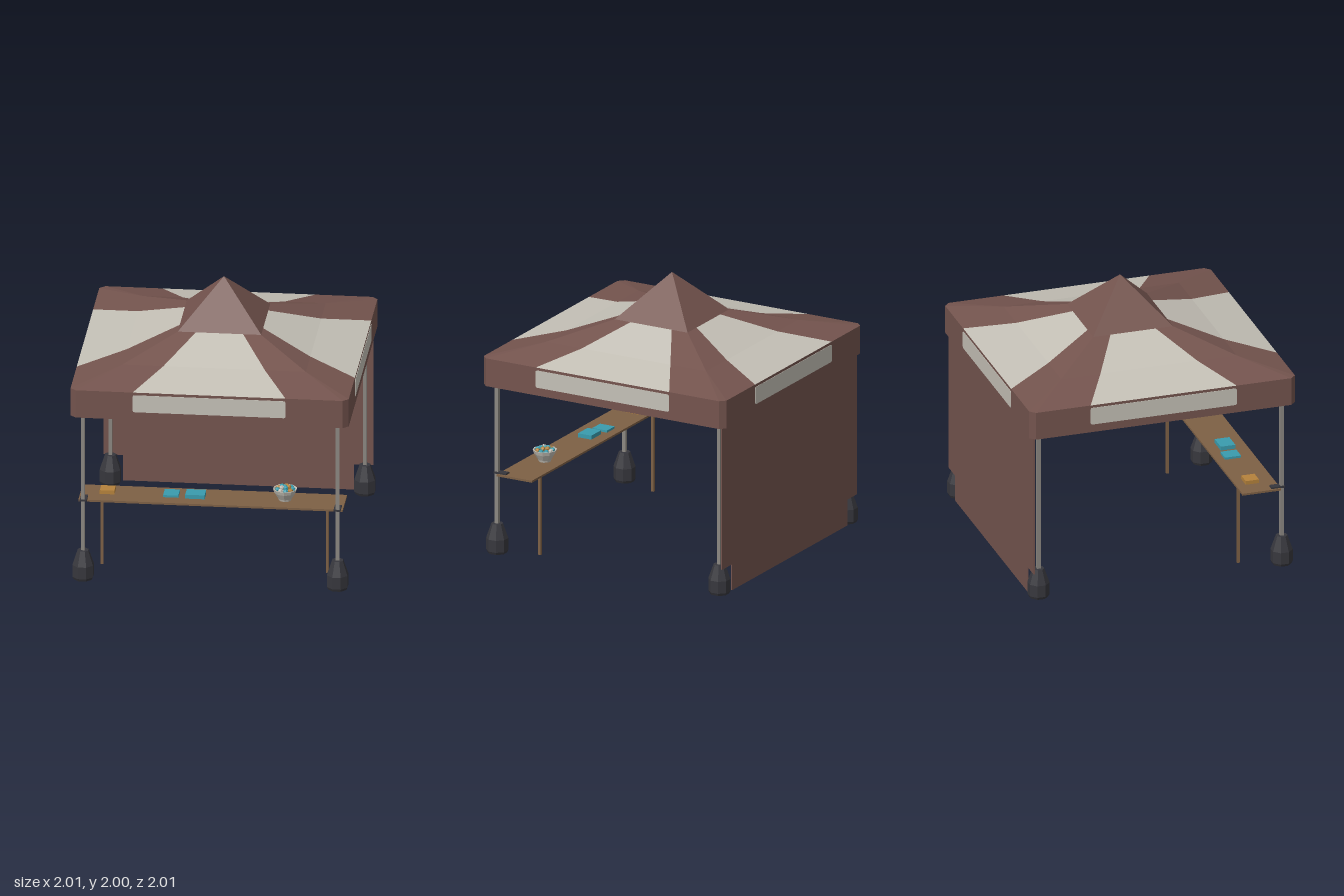
import * as THREE from 'three';

const mat = (name, color, side = THREE.FrontSide) =>
  new THREE.MeshStandardMaterial({ name, color, side, flatShading: true });

// Flat-shaded faces from lists of 3 or 4 corners, counter-clockwise seen from outside
function faces(list) {
  const pos = [];
  for (const f of list)
    for (let i = 1; i < f.length - 1; i++) pos.push(...f[0], ...f[i], ...f[i + 1]);
  const g = new THREE.BufferGeometry();
  g.setAttribute('position', new THREE.Float32BufferAttribute(pos, 3));
  g.computeVertexNormals();
  return g;
}

export function createModel() {
  const root = new THREE.Group();
  root.name = 'marketTent';
  const cloth = mat('maroonCloth', 0x74544e, THREE.DoubleSide);
  const cream = mat('creamCloth', 0xc4c0b6);
  const metal = mat('greyMetal', 0x8b8781);
  const dark = mat('darkWeight', 0x37373d);
  const wood = mat('wood', 0x7d6045);
  const teal = mat('teal', 0x3a9cae);
  const orange = mat('orange', 0xb5823c);

  const add = (name, geo, material, x = 0, y = 0, z = 0, parent = root) => {
    const m = new THREE.Mesh(geo, material);
    m.name = name;
    m.position.set(x, y, z);
    parent.add(m);
    return m;
  };
  const box = (name, w, h, d, material, x, y, z, parent) =>
    add(name, new THREE.BoxGeometry(w, h, d), material, x, y, z, parent);

  // Bar with a square section between two points
  const bar = (name, a, b, t, parent) => {
    const p = new THREE.Vector3(...a), q = new THREE.Vector3(...b);
    const m = add(name, new THREE.BoxGeometry(t, t, p.distanceTo(q)), metal, 0, 0, 0, parent);
    m.position.copy(p).add(q).multiplyScalar(0.5);
    m.rotation.x = -Math.atan2(q.y - p.y, q.z - p.z);
    m.quaternion.setFromUnitVectors(new THREE.Vector3(0, 0, 1), q.clone().sub(p).normalize());
  };

  // Roof rings: distance out, height, half width of cream panel, half width of side
  const rings = [[1, 1.48, 0.55, 0.96], [0.66, 1.555, 0.365, 0.66], [0.3, 1.68, 0.17, 0.3]];
  const clothFaces = [], panelFaces = [];
  for (let i = 0; i < 2; i++) {
    const [z0, y0, p0, w0] = rings[i], [z1, y1, p1, w1] = rings[i + 1];
    const strip = (a0, b0, a1, b1) =>
      [[a0, y0, z0], [b0, y0, z0], [b1, y1, z1], [a1, y1, z1]];
    panelFaces.push(strip(-p0, p0, -p1, p1));
    clothFaces.push(strip(-w0, -p0, -w1, -p1), strip(p0, w0, p1, w1));
  }
  clothFaces.push(
    [[0.96, 1.48, 1], [1, 1.48, 0.96], [0.66, 1.555, 0.66]],
    [[-0.3, 1.68, 0.3], [0.3, 1.68, 0.3], [0, 2, 0]],
    // valance and its cut corner
    [[-0.96, 1.27, 1], [0.96, 1.27, 1], [0.96, 1.48, 1], [-0.96, 1.48, 1]],
    [[0.96, 1.27, 1], [1, 1.27, 0.96], [1, 1.48, 0.96], [0.96, 1.48, 1]]);
  const clothGeo = faces(clothFaces), panelGeo = faces(panelFaces);

  // Rounded sign plate on the valance
  const w = 0.55, y0 = 1.33, y1 = 1.46, r = 0.015;
  const plate = new THREE.Shape();
  plate.absarc(w - r, y0 + r, r, -Math.PI / 2, 0);
  plate.absarc(w - r, y1 - r, r, 0, Math.PI / 2);
  plate.absarc(-w + r, y1 - r, r, Math.PI / 2, Math.PI);
  plate.absarc(-w + r, y0 + r, r, Math.PI, Math.PI * 1.5);
  const plateGeo = new THREE.ExtrudeGeometry(plate, { depth: 0.004, bevelEnabled: false, curveSegments: 3 });

  // Foot weight
  const weightGeo = new THREE.LatheGeometry(
    [[0, 0], [0.07, 0], [0.08, 0.02], [0.08, 0.11], [0.042, 0.22], [0, 0.22]]
      .map(p => new THREE.Vector2(...p)), 8, Math.PI / 8);

  // Four identical sides, each with one corner post
  for (let k = 0; k < 4; k++) {
    const side = new THREE.Group();
    side.name = 'tentSide';
    side.rotation.y = k * Math.PI / 2;
    root.add(side);
    add('canopyCloth', clothGeo, cloth, 0, 0, 0, side);
    add('canopyPanel', panelGeo, cream, 0, 0, 0, side);
    add('panelLining', panelGeo, cloth, 0, -0.006, 0, side);
    add('valancePlate', plateGeo, cream, 0, 0, 0.999, side);
    box('post', 0.027, 1.45, 0.027, metal, 0.915, 0.745, 0.915, side);
    box('postCollar', 0.045, 0.04, 0.045, metal, 0.915, 1.31, 0.915, side);
    add('footWeight', weightGeo, dark, 0.915, 0, 0.915, side);
    // scissor truss
    for (const s of [-1, 1]) {
      bar('trussBar', [s * 0.915, 1.45, 0.91], [0, 1.31, 0.91], 0.014, side);
      bar('trussBar', [s * 0.915, 1.31, 0.925], [0, 1.45, 0.925], 0.014, side);
    }
  }

  // Back wall, notched around the weights
  const wall = new THREE.Shape([[-0.83, 0.005], [0.83, 0.005], [0.83, 0.2], [0.97, 0.2],
    [0.97, 1.3], [-0.97, 1.3], [-0.97, 0.2], [-0.83, 0.2]].map(p => new THREE.Vector2(...p)));
  add('backWall', new THREE.ExtrudeGeometry(wall, { depth: 0.01, bevelEnabled: false }), cloth, 0, 0, -0.97);

  // Counter with two legs, clamped to the front posts
  box('counterTop', 1.9, 0.015, 0.29, wood, 0, 0.592, 0.755);
  for (const s of [-1, 1]) {
    box('counterLeg', 0.02, 0.585, 0.02, wood, s * 0.81, 0.2925, 0.622);
    box('counterClamp', 0.05, 0.014, 0.1, dark, s * 0.912, 0.604, 0.882);
  }

  // Goods on the counter
  box('orangeBox', 0.105, 0.028, 0.1, orange, -0.757, 0.614, 0.73);
  box('flatTealBox', 0.11, 0.016, 0.12, teal, -0.298, 0.608, 0.735);
  box('tealBox', 0.14, 0.03, 0.11, teal, -0.123, 0.615, 0.75);

  // Bowl filled with small pieces
  const bowl = new THREE.Group();
  bowl.name = 'bowl';
  bowl.position.set(0.52, 0.6, 0.75);
  root.add(bowl);
  add('bowlShell', new THREE.LatheGeometry(
    [[0, 0], [0.045, 0], [0.05, 0.015], [0.078, 0.06], [0.088, 0.088], [0.08, 0.088], [0.068, 0.065], [0, 0.065]]
      .map(p => new THREE.Vector2(...p)), 10), cream, 0, 0, 0, bowl);
  const piece = new THREE.IcosahedronGeometry(0.02, 0);
  for (let i = 0; i < 15; i++) {
    const rad = i < 9 ? 0.055 : i < 14 ? 0.028 : 0;
    const a = i < 9 ? i * Math.PI * 2 / 9 : (i - 9) * Math.PI * 2 / 5;
    const m = add('bowlPiece', piece, [teal, orange, teal, cream][i % 4],
      Math.cos(a) * rad, i < 9 ? 0.084 : 0.098, Math.sin(a) * rad, bowl);
    m.rotation.set(i, i * 2, 0);
  }
  return root;
}
